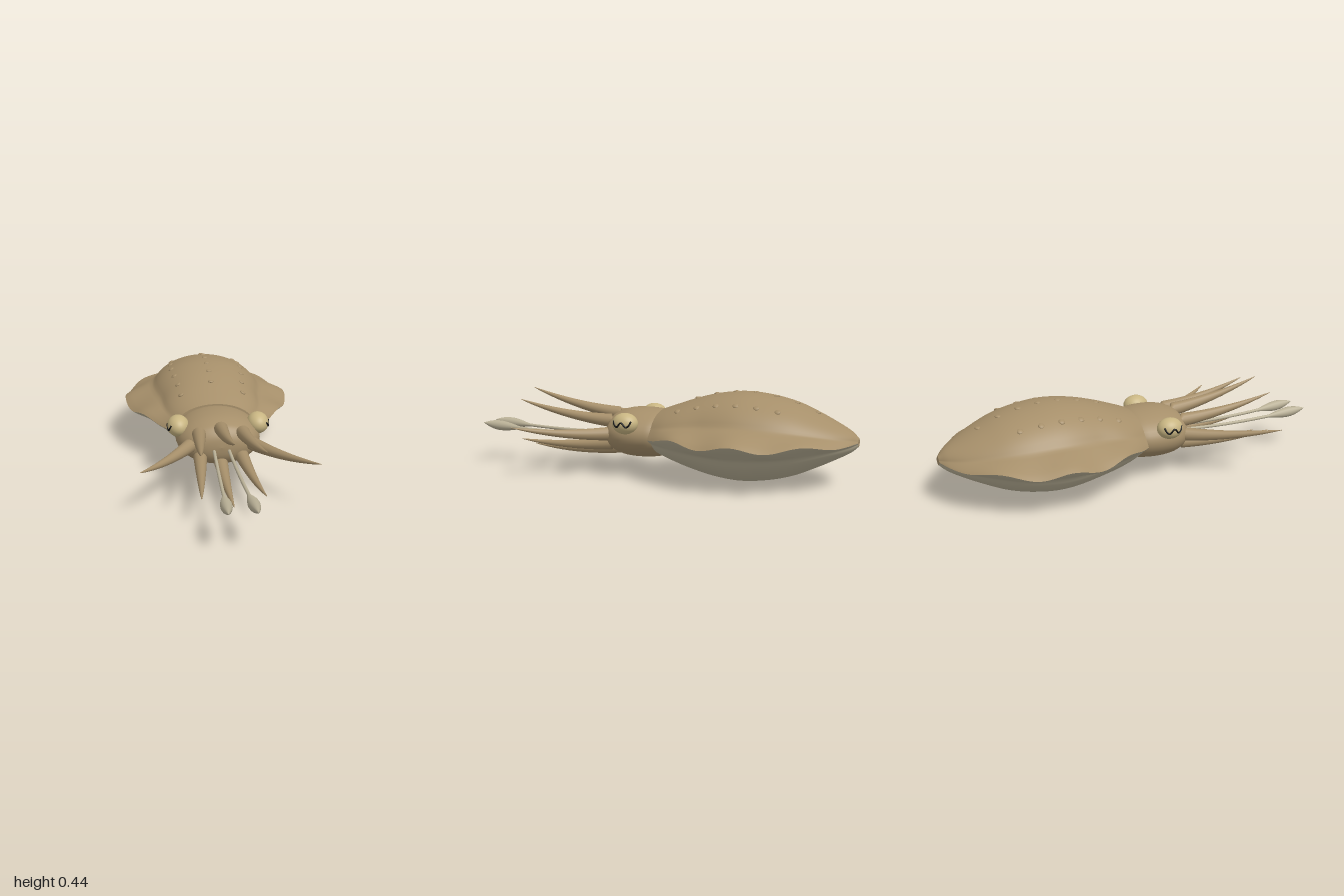
import * as THREE from 'three';

const V = (x, y, z) => new THREE.Vector3(x, y, z);
const skin = new THREE.MeshStandardMaterial({ color: 0xa68f6a });
const pale = new THREE.MeshStandardMaterial({ color: 0xb9b096 });
const eyeCream = new THREE.MeshStandardMaterial({ color: 0xc8b582 });
const black = new THREE.MeshStandardMaterial({ color: 0x111111 });
const AXIS_Y = 0.22;

function add(parent, name, geometry, material) {
  const mesh = new THREE.Mesh(geometry, material);
  mesh.name = name;
  parent.add(mesh);
  return mesh;
}

// Mantle outline: x = fin half width, y = body half height, z = station
const outline = new THREE.CatmullRomCurve3([
  V(0.03, 0.02, -1), V(0.115, 0.05, -0.965), V(0.22, 0.085, -0.9), V(0.32, 0.133, -0.8),
  V(0.385, 0.175, -0.7), V(0.423, 0.203, -0.59), V(0.438, 0.218, -0.45), V(0.408, 0.204, -0.31),
  V(0.362, 0.176, -0.2), V(0.3, 0.142, -0.1), V(0.235, 0.113, -0.02),
]);
const bodyWidth = (s) => s.x * (0.69 + 0.16 * THREE.MathUtils.smoothstep(s.z, -0.3, -0.02));

// Point on a section: q runs -1..1 from the right fin edge over the body to the left one
function sectionPoint(s, q, up) {
  const b = bodyWidth(s), a = Math.abs(q), side = Math.sign(q);
  let x, y, k = 0;
  if (a <= 0.65) {
    const angle = THREE.MathUtils.degToRad(90 - 70 * a / 0.65);
    x = b * Math.cos(angle);
    y = s.y * Math.sin(angle);
  } else {
    k = (a - 0.65) / 0.35;
    x = THREE.MathUtils.lerp(b * 0.94, s.x, k);
    y = s.y * 0.342 * Math.pow(1 - k, 0.8);
  }
  const wave = 0.013 * Math.cos((s.z + 0.18) * Math.PI * 2 / 0.31) * k * Math.min(1, (s.x - 0.03) * 5);
  return V(side * x, AXIS_Y + up * y + wave, s.z);
}

function mantleHalf(up) {
  const rows = 60, cols = 48, pos = [], idx = [];
  for (let i = 0; i <= rows; i++) {
    const s = outline.getPoint(i / rows);
    for (let j = 0; j <= cols; j++) pos.push(...sectionPoint(s, j / cols * 2 - 1, up).toArray());
  }
  for (let i = 0; i < rows; i++) for (let j = 0; j < cols; j++) {
    const a = i * (cols + 1) + j, b = a + cols + 1;
    if (up > 0) idx.push(a, b, a + 1, b, b + 1, a + 1);
    else idx.push(a, a + 1, b, b, a + 1, b + 1);
  }
  const g = new THREE.BufferGeometry();
  g.setAttribute('position', new THREE.Float32BufferAttribute(pos, 3));
  g.setIndex(idx);
  g.computeVertexNormals();
  return g;
}

// Flat end of the mantle at station t
function mantleCap(t) {
  const s = outline.getPoint(t), pts = [];
  for (let j = 0; j < 48; j++) pts.push(sectionPoint(s, 1 - j / 24, 1));
  for (let j = 0; j < 48; j++) pts.push(sectionPoint(s, j / 24 - 1, -1));
  const g = new THREE.ShapeGeometry(new THREE.Shape(pts.map((p) => new THREE.Vector2(p.x, p.y))));
  if (t === 0) {
    g.setIndex(Array.from(g.index.array).reverse());
    g.attributes.normal.array.fill(-1);
    for (let i = 0; i < g.attributes.normal.count; i++) g.attributes.normal.setXYZ(i, 0, 0, -1);
  }
  return g.translate(0, 0, s.z);
}

// Tube along a bezier with a radius rule
function taperedTube(a, b, c, radius, segments = 32, sides = 16) {
  const curve = new THREE.QuadraticBezierCurve3(a, b, c);
  const g = new THREE.TubeGeometry(curve, segments, 1, sides);
  const p = g.attributes.position, v = V(0, 0, 0);
  for (let i = 0; i < p.count; i++) {
    const ring = Math.floor(i / (sides + 1)), u = ring / segments;
    const center = curve.getPointAt(u);
    v.fromBufferAttribute(p, i).sub(center).multiplyScalar(ring === 0 ? 0 : radius(u)).add(center);
    p.setXYZ(i, v.x, v.y, v.z);
  }
  return g;
}

export function createModel() {
  const model = new THREE.Group();
  model.name = 'cuttlefish';

  // Mantle with its wavy fin
  const mantle = new THREE.Group();
  mantle.name = 'mantle';
  model.add(mantle);
  add(mantle, 'mantleTop', mantleHalf(1), skin);
  add(mantle, 'mantleUnderside', mantleHalf(-1), pale);
  add(mantle, 'mantleFrontCap', mantleCap(1), skin);
  add(mantle, 'mantleTailCap', mantleCap(0), skin);

  // Small skin bumps along the back
  for (const [fx, count, start] of [[0, 7, -0.2], [0.62, 6, -0.15], [-0.62, 6, -0.15]]) {
    for (let i = 0; i < count; i++) {
      const z = start - i * 0.1;
      let s = outline.getPoint(0);
      for (let t = 0; t <= 1 && s.z < z; t += 0.005) s = outline.getPoint(t);
      const bump = add(mantle, 'skinBump', new THREE.SphereGeometry(1, 12, 8), skin);
      bump.scale.set(0.016, 0.007, 0.016);
      bump.position.set(fx * bodyWidth(s), AXIS_Y + s.y * Math.sqrt(1 - fx * fx) - 0.001, z);
      bump.rotation.z = -fx * 0.8;
    }
  }

  // Head
  const profile = new THREE.SplineCurve([
    [0.7, -0.1], [0.92, -0.02], [0.98, 0.03], [1, 0.09], [0.97, 0.15], [0.87, 0.2],
    [0.72, 0.235], [0.4, 0.262], [0, 0.27],
  ].map(([r, z]) => new THREE.Vector2(r, z))).getPoints(32);
  profile.forEach((p) => { p.x = Math.max(0, p.x); });
  const headShape = new THREE.LatheGeometry(profile, 40).rotateX(Math.PI / 2).scale(0.21, 0.125, 1);
  add(model, 'head', headShape, skin).position.y = 0.21;

  // Eyes with W-shaped pupils
  for (const side of [-1, 1]) {
    const eye = new THREE.Group();
    eye.name = side > 0 ? 'leftEye' : 'rightEye';
    eye.position.set(side * 0.198, 0.276, 0.112);
    model.add(eye);
    add(eye, 'eyeball', new THREE.SphereGeometry(1, 32, 20).scale(0.054, 0.053, 0.066), eyeCream);
    const path = [[0.046, 0.017], [0.038, -0.002], [0.024, -0.012], [0, 0.01], [-0.024, -0.012], [-0.038, -0.002], [-0.046, 0.017]]
      .map(([z, y]) => V(side * 0.054 * Math.sqrt(1 - (y / 0.053) ** 2 - (z / 0.066) ** 2), y, z));
    add(eye, 'pupil', new THREE.TubeGeometry(new THREE.CatmullRomCurve3(path), 40, 0.0045, 8), black);
  }

  // Eight arms: base, bend and tip
  const armRadius = (u) => 0.034 * Math.pow(1 - u, 0.85) + 0.001;
  const arm = (name, a, b, c) => add(model, name, taperedTube(a, b, c, armRadius), skin);
  arm('topArm', V(0, 0.295, 0.215), V(0, 0.32, 0.47), V(0, 0.408, 0.72));
  arm('bottomArm', V(0, 0.125, 0.215), V(0, 0.08, 0.47), V(0, 0.108, 0.72));
  for (const m of [-1, 1]) {
    arm('upperArm', V(m * 0.105, 0.272, 0.215), V(m * 0.125, 0.285, 0.47), V(m * 0.147, 0.362, 0.72));
    arm('sideArm', V(m * 0.145, 0.212, 0.215), V(m * 0.275, 0.205, 0.42), V(m * 0.41, 0.256, 0.63));
    arm('lowerArm', V(m * 0.1, 0.158, 0.215), V(m * 0.12, 0.125, 0.47), V(m * 0.145, 0.155, 0.72));
  }

  // Two long feeding tentacles ending in clubs
  const clubRadius = (u) => u < 0.72 ? 0.008
    : 0.008 * (1 - ((u - 0.72) / 0.28) ** 4) + 0.019 * Math.sin(Math.PI * ((u - 0.72) / 0.28) ** 1.15);
  for (const m of [-1, 1]) {
    add(model, 'feedingTentacle',
      taperedTube(V(m * 0.035, 0.195, 0.22), V(m * 0.048, 0.17, 0.6), V(m * 0.063, 0.212, 1), clubRadius, 64), pale);
  }
  return model;
}
